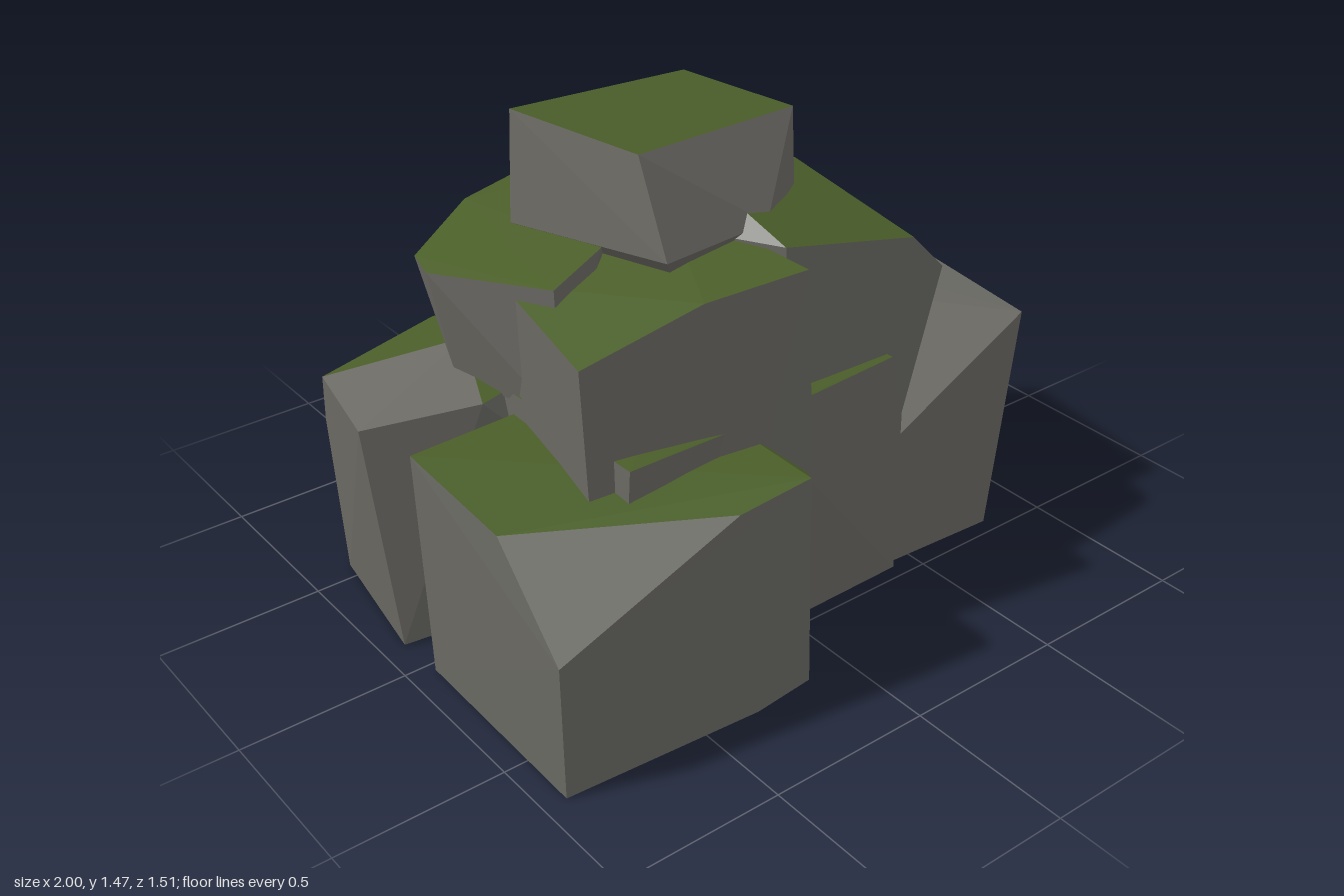
import * as THREE from 'three';
import { ConvexGeometry } from 'three/addons/geometries/ConvexGeometry.js';

const stone = new THREE.MeshStandardMaterial({ color: 0x6b6a64, flatShading: true });
stone.name = 'grey stone';
const moss = new THREE.MeshStandardMaterial({ color: 0x4a5e29, flatShading: true });
moss.name = 'green moss';

const upward = n => n.y > 0.8;

// A faceted boulder: hull of its corners, with moss on the faces that pass the test
function boulder(name, corners, mossy = upward) {
  const hull = new ConvexGeometry(corners.map(c => new THREE.Vector3(...c)));
  const pos = hull.attributes.position;
  const bare = [], green = [];
  const tri = new THREE.Triangle(), n = new THREE.Vector3();
  for (let i = 0; i < pos.count; i += 3) {
    tri.setFromAttributeAndIndices(pos, i, i + 1, i + 2);
    tri.getNormal(n);
    const list = mossy(n) ? green : bare;
    for (const p of [tri.a, tri.b, tri.c]) list.push(p.x, p.y, p.z);
  }
  const geo = new THREE.BufferGeometry();
  geo.setAttribute('position', new THREE.Float32BufferAttribute([...bare, ...green], 3));
  geo.addGroup(0, bare.length / 3, 0);
  if (green.length) geo.addGroup(bare.length / 3, green.length / 3, 1);
  geo.computeVertexNormals();
  const mesh = new THREE.Mesh(geo, [stone, moss]);
  mesh.name = name;
  return mesh;
}

export function createModel() {
  const group = new THREE.Group();
  group.name = 'mossyRockPile';

  group.add(
    // Ground course
    boulder('frontRightBoulder', [
      [-0.94, 0.70, 0.02], [-0.94, 0.67, 0.43], [-0.42, 0.68, 0.74], [-0.20, 0.71, 0.755], [-0.20, 0.72, 0.02],
      [-0.95, 0.43, 0.70], [-0.93, 0, 0.68], [-0.33, 0, 0.72], [-0.15, 0.02, 0.72], [-0.17, 0.69, 0.70],
      [-0.15, 0, 0.02], [-0.92, 0, 0.03],
    ]),
    boulder('backRightBoulder', [
      [-0.22, 0, -0.62], [-0.86, 0, -0.56], [-0.93, 0, -0.12], [0.0, 0, -0.53], [0.0, 0, 0],
      [-0.42, 0.55, -0.74], [-0.55, 0.45, -0.76], [-0.86, 0.48, -0.62], [-0.01, 0.62, -0.65], [0.05, 0.55, -0.53],
      [-0.91, 0.69, -0.51], [-0.47, 0.68, -0.65], [-0.06, 0.75, -0.55], [-0.57, 0.79, -0.30],
      [-1.0, 0.72, -0.14], [-0.70, 0.76, 0.0], [0, 0.75, -0.2],
    ], n => n.y > 0.9 && n.x > -0.12),
    boulder('leftBoulder', [
      [1.0, 0.69, -0.14], [0.98, 0.32, -0.36], [0.93, 0, -0.36], [0.91, 0.70, 0.44], [0.81, 0, 0.45],
      [0.13, 0.40, -0.49], [0.18, 0, -0.48], [0.22, 0.79, -0.25], [0.55, 0.77, -0.25], [0.50, 0.77, 0.12],
      [0.42, 0.45, 0.44], [0.42, 0, 0.43], [0.20, 0, 0.2],
    ], () => false),
    boulder('frontMiddleBoulder', [
      [-0.62, 0.79, 0.55], [-0.20, 0.77, 0.53], [0.35, 0.75, 0.47], [0.42, 0.53, 0.45], [0.42, 0, 0.455],
      [-0.60, 0, 0.47], [-0.62, 0.77, -0.2], [0.35, 0.75, -0.3], [0.30, 0, -0.4], [-0.60, 0, -0.3],
    ]),

    // Small wedge at the back
    boulder('backWedge', [
      [-0.06, 0.84, -0.44], [0.06, 0.84, -0.46], [0.12, 0.90, -0.30], [-0.05, 0.91, -0.28],
      [0.21, 0.74, -0.46], [0.22, 0.76, -0.28], [0.17, 0.45, -0.45], [0.0, 0.45, -0.45],
      [0.0, 0.45, -0.2], [0.2, 0.45, -0.2],
    ]),

    // Middle course
    boulder('upperFrontBoulder', [
      [-0.71, 1.07, 0.47], [-0.37, 1.17, 0.53], [-0.07, 1.19, 0.575], [-0.03, 1.15, 0.51],
      [-0.62, 1.09, 0.0], [-0.1, 1.20, 0.0], [-0.69, 0.69, 0.47], [-0.20, 0.57, 0.55],
      [-0.01, 0.58, 0.55], [0.0, 0.58, 0.50], [-0.6, 0.65, 0.0], [-0.02, 0.6, 0.0],
    ]),
    boulder('upperLeftBoulder', [
      [0.54, 0.97, 0.455], [0.55, 1.08, -0.22], [0.41, 1.10, 0.465], [0.41, 1.17, -0.03],
      [-0.06, 1.21, 0.475], [-0.06, 1.25, 0.32], [0.10, 1.20, -0.25], [-0.2, 1.18, 0.1],
      [0.42, 0.45, 0.43], [0.49, 0.70, -0.22], [0.0, 0.6, 0.45], [0.0, 0.7, -0.22],
    ]),
    boulder('upperBackBoulder', [
      [-0.73, 1.08, -0.20], [-0.70, 1.08, -0.31], [-0.60, 1.15, 0.21], [-0.41, 1.19, 0.15],
      [-0.45, 1.13, -0.45], [-0.15, 1.14, -0.53], [-0.10, 1.16, -0.45], [-0.05, 1.19, -0.27],
      [-0.03, 1.08, -0.27], [-0.66, 0.75, -0.2], [-0.20, 0.6, -0.47], [-0.06, 0.6, -0.30], [-0.58, 0.75, 0.2],
    ]),

    // Cap stone
    boulder('topBoulder', [
      [-0.44, 1.47, -0.21], [-0.36, 1.47, 0.25], [0.22, 1.40, -0.31], [0.28, 1.40, 0.10],
      [-0.37, 1.22, 0.38], [0.0, 1.21, 0.33], [0.24, 1.2, 0.16], [-0.46, 1.15, -0.20],
      [0.20, 0.86, -0.30], [0.10, 0.88, -0.24], [-0.2, 1.0, 0.2],
    ]),
  );
  return group;
}
